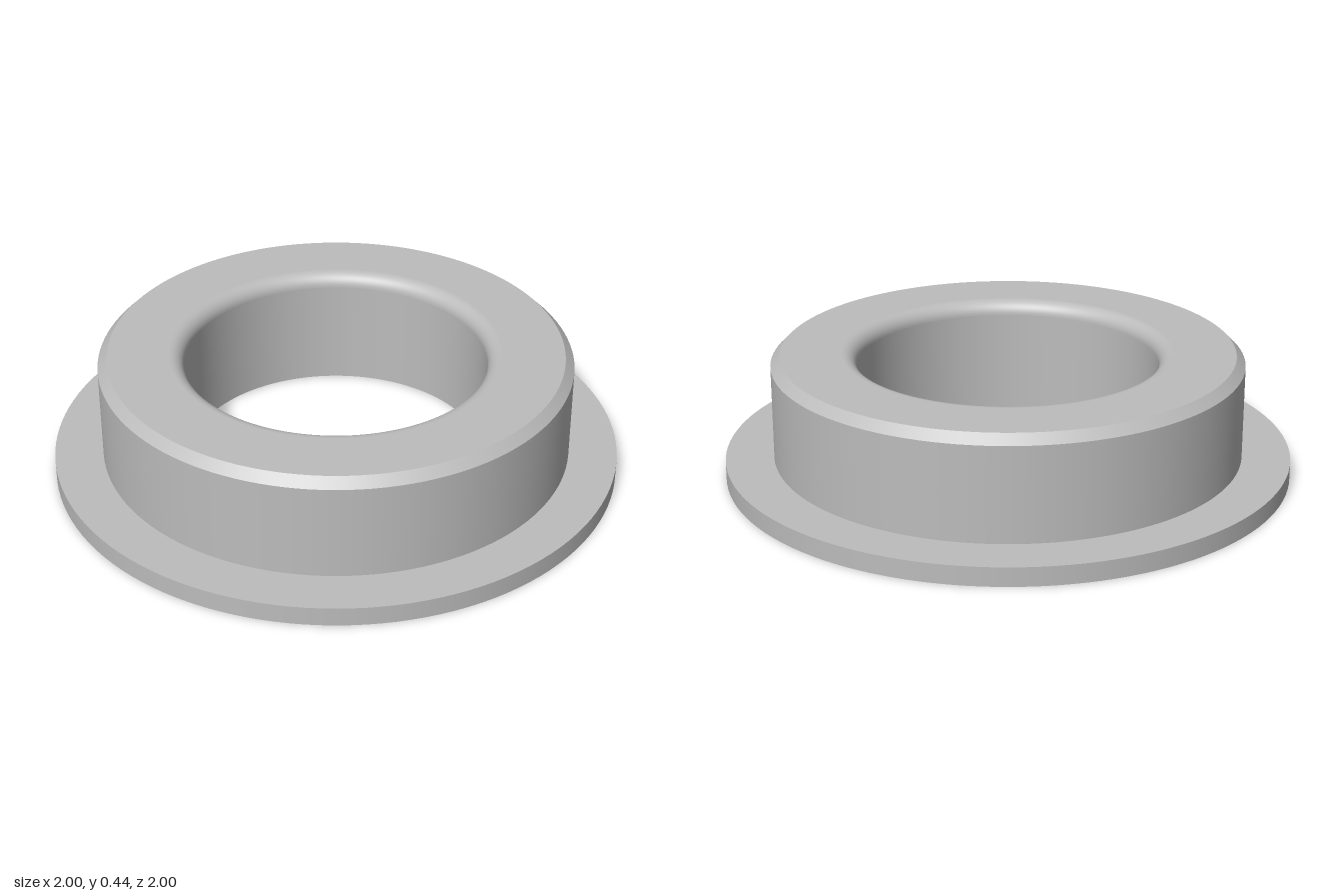
import * as THREE from 'three';

export function createModel() {
  const group = new THREE.Group();
  group.name = 'flangedBushing';
  const steel = new THREE.MeshStandardMaterial({ color: 0xbcbcbc });
  steel.name = 'plain grey metal';

  const bore = 0.53, body = 0.83, rim = 1;
  const flangeTop = 0.067, top = 0.435, chamfer = 0.032, fillet = 0.05;

  // Each surface is turned separately, so the edges between them stay sharp
  const turn = (name, points) => {
    const profile = points.map(([r, y]) => new THREE.Vector2(r, y));
    const mesh = new THREE.Mesh(new THREE.LatheGeometry(profile, 128), steel);
    mesh.name = name;
    group.add(mesh);
  };

  // Flange
  turn('flangeUnderside', [[bore, 0], [rim, 0]]);
  turn('flangeRim', [[rim, 0], [rim, flangeTop]]);
  turn('flangeTop', [[rim, flangeTop], [body, flangeTop]]);

  // Raised collar with chamfered outer edge
  turn('collarWall', [[body, flangeTop], [body, top - chamfer]]);
  turn('collarChamfer', [[body, top - chamfer], [body - chamfer, top]]);
  turn('collarTop', [[body - chamfer, top], [bore + fillet, top]]);

  // Rounded lip leading into the straight bore
  const lip = [];
  for (let i = 0; i <= 12; i++) {
    const a = (i / 12) * Math.PI / 2;
    lip.push([bore + fillet * (1 - Math.sin(a)), top - fillet * (1 - Math.cos(a))]);
  }
  turn('boreLip', lip);
  turn('boreWall', [[bore, top - fillet], [bore, 0]]);

  return group;
}
